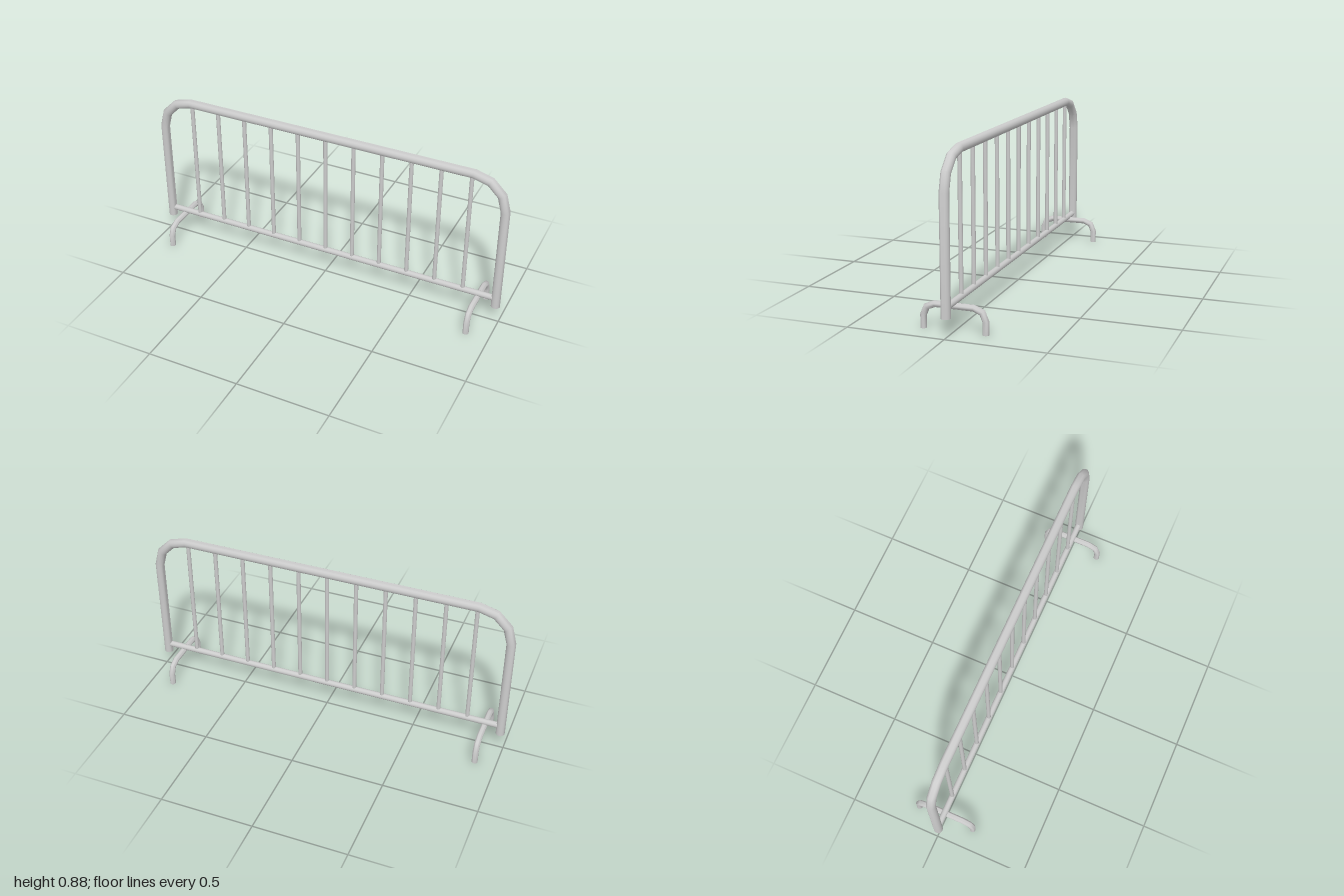
import * as THREE from 'three';
import { toCreasedNormals } from 'three/addons/utils/BufferGeometryUtils.js';

const material = new THREE.MeshStandardMaterial({ color: 0xcccccc });

// Capped pipe along a path in the XY plane, with mitred joints
function pipe(points, radius, sides = 16) {
  const n = points.length - 1;
  const geo = new THREE.CylinderGeometry(radius, radius, 1, sides, n);
  const dirs = points.slice(1).map((p, i) => p.clone().sub(points[i]).normalize());
  const pos = geo.attributes.position;
  for (let v = 0; v < pos.count; v++) {
    const i = Math.round((pos.getY(v) + 0.5) * n);
    const a = dirs[Math.max(i - 1, 0)], b = dirs[Math.min(i, n - 1)];
    const t = a.clone().add(b).normalize();
    const offset = pos.getX(v) / t.dot(a);
    pos.setXY(v, points[i].x + t.y * offset, points[i].y - t.x * offset);
  }
  return toCreasedNormals(geo, 0.9);
}

// Inverted U: two legs joined by rounded corners and a straight top
function archPath(halfWidth, bottom, top, bend, steps) {
  const half = [new THREE.Vector2(halfWidth, bottom)];
  for (let i = 0; i <= steps; i++) {
    const a = (i / steps) * Math.PI / 2;
    half.push(new THREE.Vector2(
      halfWidth - bend + bend * Math.cos(a),
      top - bend + bend * Math.sin(a)));
  }
  const mirrored = half.map(p => new THREE.Vector2(-p.x, p.y));
  return [...mirrored, ...half.reverse()];
}

export function createModel() {
  const group = new THREE.Group();
  const add = (name, geo, x = 0, y = 0) => {
    const mesh = new THREE.Mesh(geo, material);
    mesh.name = name;
    mesh.position.set(x, y, 0);
    group.add(mesh);
    return mesh;
  };

  // Outer frame
  add('outerFrame', pipe(archPath(0.976, 0.095, 0.859, 0.175, 3), 0.024));

  // Bottom rail
  const rail = new THREE.CylinderGeometry(0.016, 0.016, 1.94, 16).rotateZ(Math.PI / 2);
  add('bottomRail', rail, 0, 0.146);

  // Upright bars
  const bar = new THREE.CylinderGeometry(0.011, 0.011, 0.713, 12);
  for (let i = -5; i <= 5; i++) add('uprightBar', bar, i * 0.1585, 0.5025);

  // Arched feet, running front to back
  const foot = pipe(archPath(0.158, 0, 0.124, 0.059, 2), 0.016).rotateY(Math.PI / 2);
  add('leftFoot', foot, 0.877);
  add('rightFoot', foot, -0.889);

  return group;
}
